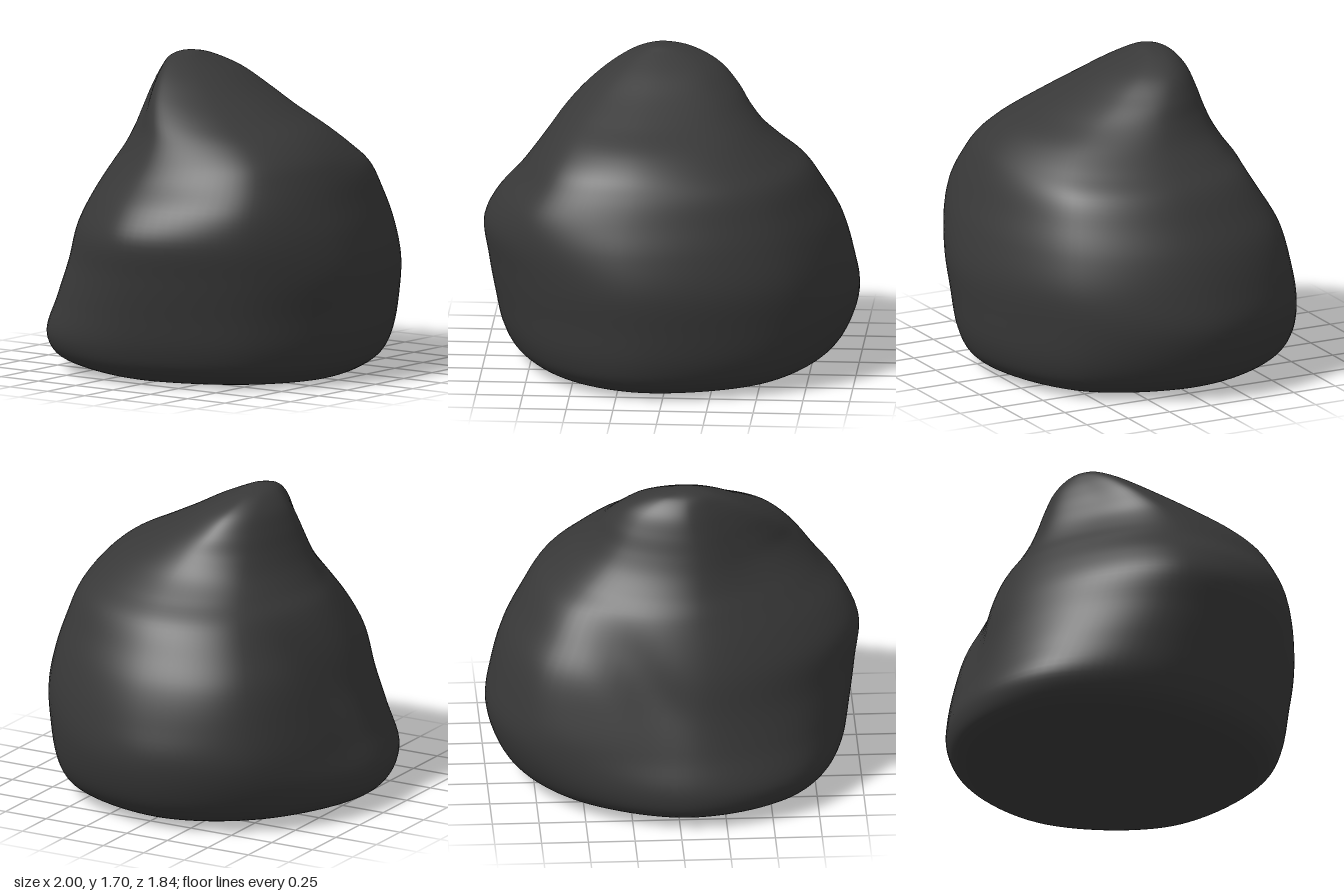
import * as THREE from 'three';
import { mergeVertices } from 'three/addons/utils/BufferGeometryUtils.js';

// Horizontal sections of the boulder, from the base up:
// height, -x, +x, +z and -z extents, then fullness of the four corners
// (front -x, front +x, back +x, back -x)
const SECTIONS = [
  [0.00, -0.60, 0.60, 0.62, -0.55, 1.00, 1.00, 0.98, 1.00],
  [0.025, -0.74, 0.74, 0.74, -0.76, 1.00, 1.00, 0.97, 1.02],
  [0.09, -0.85, 0.86, 0.83, -0.89, 1.00, 1.00, 0.97, 1.04],
  [0.20, -0.91, 0.94, 0.88, -0.92, 1.00, 0.99, 0.99, 1.05],
  [0.40, -0.95, 1.00, 0.91, -0.86, 1.00, 0.97, 1.05, 1.02],
  [0.60, -0.98, 0.97, 0.925, -0.80, 1.00, 0.98, 1.09, 0.98],
  [0.80, -1.00, 0.91, 0.89, -0.74, 1.02, 0.99, 1.11, 0.95],
  [0.95, -0.93, 0.83, 0.84, -0.68, 1.06, 1.00, 1.10, 0.93],
  [1.10, -0.80, 0.735, 0.78, -0.605, 1.09, 1.00, 1.08, 0.92],
  [1.20, -0.725, 0.62, 0.72, -0.535, 1.09, 0.98, 1.07, 0.90],
  [1.30, -0.65, 0.505, 0.61, -0.48, 1.07, 0.97, 1.06, 0.87],
  [1.40, -0.57, 0.42, 0.42, -0.44, 1.05, 0.97, 1.04, 0.84],
  [1.50, -0.47, 0.35, 0.23, -0.405, 1.02, 0.98, 1.01, 0.83],
  [1.60, -0.34, 0.25, 0.05, -0.36, 1.00, 1.00, 0.99, 0.85],
  [1.67, -0.21, 0.11, -0.10, -0.30, 1.00, 1.00, 1.00, 0.95],
  [1.695, -0.12, 0.00, -0.16, -0.25, 1.00, 1.00, 1.00, 1.00],
];
const AROUND = 96;
const UP = 96;

// Smooth closed outline through the eight compass points of a section;
// the front, back and side points sit a little off the middle
function outline([y, left, right, front, back, fl, fr, br, bl]) {
  const cx = (left + right) / 2, cz = (front + back) / 2;
  const rx = (right - left) / 2, rz = (front - back) / 2;
  const p = (sx, sz, f) => new THREE.Vector3(cx + sx * rx * f, y, cz + sz * rz * f);
  const d = Math.SQRT1_2;
  const curve = new THREE.CatmullRomCurve3([
    p(-0.13, 1, 1), p(d, d, fr), p(1, -0.07, 1), p(d, -d, br),
    p(-0.06, -1, 1), p(-d, -d, bl), p(-1, -0.06, 1), p(-d, d, fl),
  ], true);
  return Array.from({ length: AROUND }, (_, i) => curve.getPoint(i / AROUND));
}

// Shallow hollow running slantwise down the back, below the summit
function carve(v) {
  if (v.z > 0) return;
  const line = 0.05 + 0.3 * THREE.MathUtils.smoothstep(v.y, 0.4, 1.2);
  const across = Math.exp(-(((v.x - line) / 0.19) ** 2));
  const along = Math.exp(-(((v.y - 0.8) / 0.33) ** 2));
  v.z += 0.045 * across * along;
}

function boulderGeometry() {
  const rings = SECTIONS.map(outline);
  const foot = new THREE.Vector3(0, 0, 0);
  const summit = new THREE.Vector3(-0.06, 1.70, -0.21);
  const positions = [], index = [];

  // Run a smooth line from foot to summit at each angle
  for (let i = 0; i < AROUND; i++) {
    const rib = new THREE.CatmullRomCurve3([foot, ...rings.map(r => r[i]), summit]);
    for (let j = 0; j <= UP; j++) {
      const v = rib.getPoint(j / UP);
      carve(v);
      positions.push(v.x, Math.max(0, v.y), v.z);
    }
  }
  for (let i = 0; i < AROUND; i++) {
    for (let j = 0; j < UP; j++) {
      const a = i * (UP + 1) + j;
      const b = ((i + 1) % AROUND) * (UP + 1) + j;
      if (j > 0) index.push(a, b, a + 1);
      if (j < UP - 1) index.push(b, b + 1, a + 1);
    }
  }
  const geometry = new THREE.BufferGeometry();
  geometry.setAttribute('position', new THREE.Float32BufferAttribute(positions, 3));
  geometry.setIndex(index);
  const welded = mergeVertices(geometry, 1e-5);
  welded.computeVertexNormals();
  return welded;
}

export function createModel() {
  const group = new THREE.Group();
  group.name = 'rock';
  const boulder = new THREE.Mesh(
    boulderGeometry(),
    new THREE.MeshStandardMaterial({ color: 0x383838 })
  );
  boulder.name = 'boulder';
  group.add(boulder);
  return group;
}
